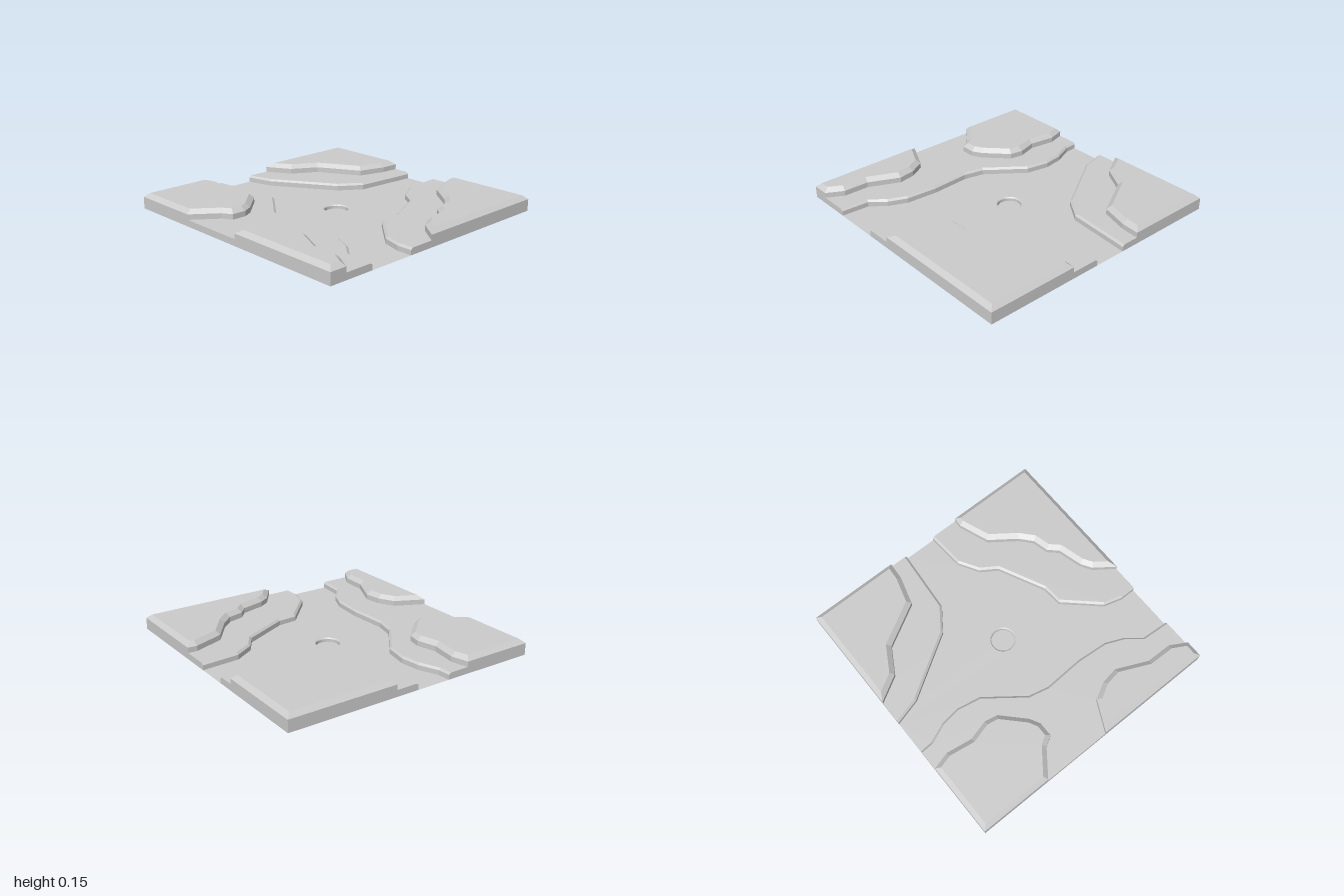
import * as THREE from 'three';

// Heights of the terrain levels
const FLOOR = 0.03, SHELF = 0.08, PLATEAU = 0.15;
const PIT = { x: -0.014, z: -0.024, r: 0.095 };

// Contours as [x, z], each walked with its high ground on the left.
const TERRACES = [
  {
    name: 'backRight',
    corners: [[-1, -1]],
    shelf: [[-1, 0.01], [-0.8, -0.045], [-0.49, -0.24], [-0.33, -0.34], [-0.21, -0.51], [-0.17, -1]],
    plateaus: [{ corner: [-1, -1], line: [[-1, -0.17], [-0.81, -0.28], [-0.7, -0.47],
      [-0.38, -0.65], [-0.32, -0.86], [-0.31, -1]] }],
  },
  {
    name: 'backLeft',
    corners: [[1, -1]],
    shelf: [[0.08, -1], [0.1, -0.71], [0.19, -0.56], [0.31, -0.48], [0.48, -0.13],
      [0.49, 0.02], [0.74, 0.25], [0.88, 0.29], [1, 0.29]],
    plateaus: [{ corner: [1, -1], line: [[0.3, -1], [0.295, -0.93], [0.38, -0.7], [0.57, -0.56],
      [0.65, -0.47], [0.68, -0.35], [0.75, -0.285], [0.8, -0.1], [0.85, -0.02], [1, 0.09]] }],
  },
  {
    name: 'front',
    corners: [[-1, 1], [1, 1]],
    shelf: [[1, 0.645], [0.79, 0.63], [0.68, 0.54], [0.54, 0.48], [0.3, 0.46], [0, 0.475],
      [-0.15, 0.44], [-0.43, 0.225], [-0.61, 0.19], [-0.76, 0.21], [-0.905, 0.27], [-1, 0.275]],
    plateaus: [
      { corner: [1, 1], line: [[1, 0.87], [0.875, 0.8], [0.68, 0.795], [0.45, 0.69],
        [0.32, 0.71], [0.2, 0.775], [0.09, 1]] },
      { corner: [-1, 1], line: [[-0.44, 1], [-0.3, 0.815], [-0.225, 0.77], [-0.225, 0.66], [-0.265, 0.585],
        [-0.425, 0.42], [-0.525, 0.4], [-0.675, 0.44], [-0.87, 0.41], [-1, 0.445]] },
    ],
  },
];

const material = new THREE.MeshStandardMaterial({ color: 0xcccccc, flatShading: true, side: THREE.DoubleSide });

function addMesh(group, name, geometry) {
  const mesh = new THREE.Mesh(geometry, material);
  mesh.name = name;
  group.add(mesh);
}

// Horizontal surface inside a loop, with an optional round hole
function flatSurface(loop, y, hole) {
  const shape = new THREE.Shape(loop.map(([x, z]) => new THREE.Vector2(x, -z)));
  if (hole) shape.holes.push(new THREE.Path().absarc(hole.x, -hole.z, hole.r, 0, Math.PI * 2, true));
  return new THREE.ShapeGeometry(shape, 16).rotateX(-Math.PI / 2).translate(0, y, 0);
}

// Moves every edge of a closed loop inward; distance(a, b) gives the amount per edge
function inset(loop, distance) {
  const n = loop.length;
  const edges = loop.map((a, i) => {
    const b = loop[(i + 1) % n];
    const dx = b[0] - a[0], dz = b[1] - a[1], len = Math.hypot(dx, dz);
    return { nx: dz / len, nz: -dx / len, d: distance(a, b) };
  });
  return loop.map(([x, z], i) => {
    const p = edges[(i + n - 1) % n], q = edges[i];
    const det = p.nx * q.nz - p.nz * q.nx;
    if (Math.abs(det) < 0.01) return [x + q.nx * q.d, z + q.nz * q.d];
    return [x + (p.d * q.nz - q.d * p.nz) / det, z + (p.nx * q.d - q.nx * p.d) / det];
  });
}

// Vertical or sloped band between two matching loops
function band(lower, y0, upper, y1) {
  const positions = [];
  lower.forEach((a, i) => {
    const j = (i + 1) % lower.length;
    const a0 = [a[0], y0, a[1]], b0 = [lower[j][0], y0, lower[j][1]];
    const a1 = [upper[i][0], y1, upper[i][1]], b1 = [upper[j][0], y1, upper[j][1]];
    positions.push(...a0, ...b0, ...b1, ...a0, ...b1, ...a1);
  });
  const geometry = new THREE.BufferGeometry();
  geometry.setAttribute('position', new THREE.Float32BufferAttribute(positions, 3));
  geometry.computeVertexNormals();
  return geometry;
}

const onBorder = (a, b) => [0, 1].some((k) => a[k] === b[k] && Math.abs(a[k]) === 1);

function createTerrace({ name, corners, shelf, plateaus }) {
  const group = new THREE.Group();
  group.name = name + 'Terrace';

  // Low step: its bevel follows the contour but not the tile border
  const base = [...shelf, ...corners];
  const rim = inset(base, (a, b) => (onBorder(a, b) ? 0 : 0.016));
  addMesh(group, 'shelfWall', band(base, FLOOR, base, 0.066));
  addMesh(group, 'shelfBevel', band(base, 0.066, rim, SHELF));

  // Shelf top runs from the rim to the foot of the plateaus
  const feet = plateaus.flatMap((p) => p.line).reverse();
  addMesh(group, 'shelfTop', flatSurface([...rim.slice(0, shelf.length), ...feet], SHELF));

  // High steps, bevelled all round
  plateaus.forEach(({ corner, line }) => {
    const foot = [...line, corner];
    const top = inset(foot, () => 0.035);
    addMesh(group, 'plateauWall', band(foot, SHELF, foot, 0.12));
    addMesh(group, 'plateauBevel', band(foot, 0.12, top, PLATEAU));
    addMesh(group, 'plateauTop', flatSurface(top, PLATEAU));
  });
  return group;
}

export function createModel() {
  const model = new THREE.Group();
  model.name = 'terrainTile';

  // Valley floor between the terraces, with a round opening
  addMesh(model, 'valleyFloor', flatSurface(TERRACES.flatMap((t) => t.shelf), FLOOR, PIT));

  // Shallow round socket in the floor
  const profile = [[0, 0], [0.087, 0], [0.087, 0.022], [PIT.r, FLOOR]].map(([r, y]) => new THREE.Vector2(r, y));
  addMesh(model, 'socket', new THREE.LatheGeometry(profile, 32).translate(PIT.x, 0, PIT.z));

  TERRACES.forEach((t) => model.add(createTerrace(t)));
  return model;
}
